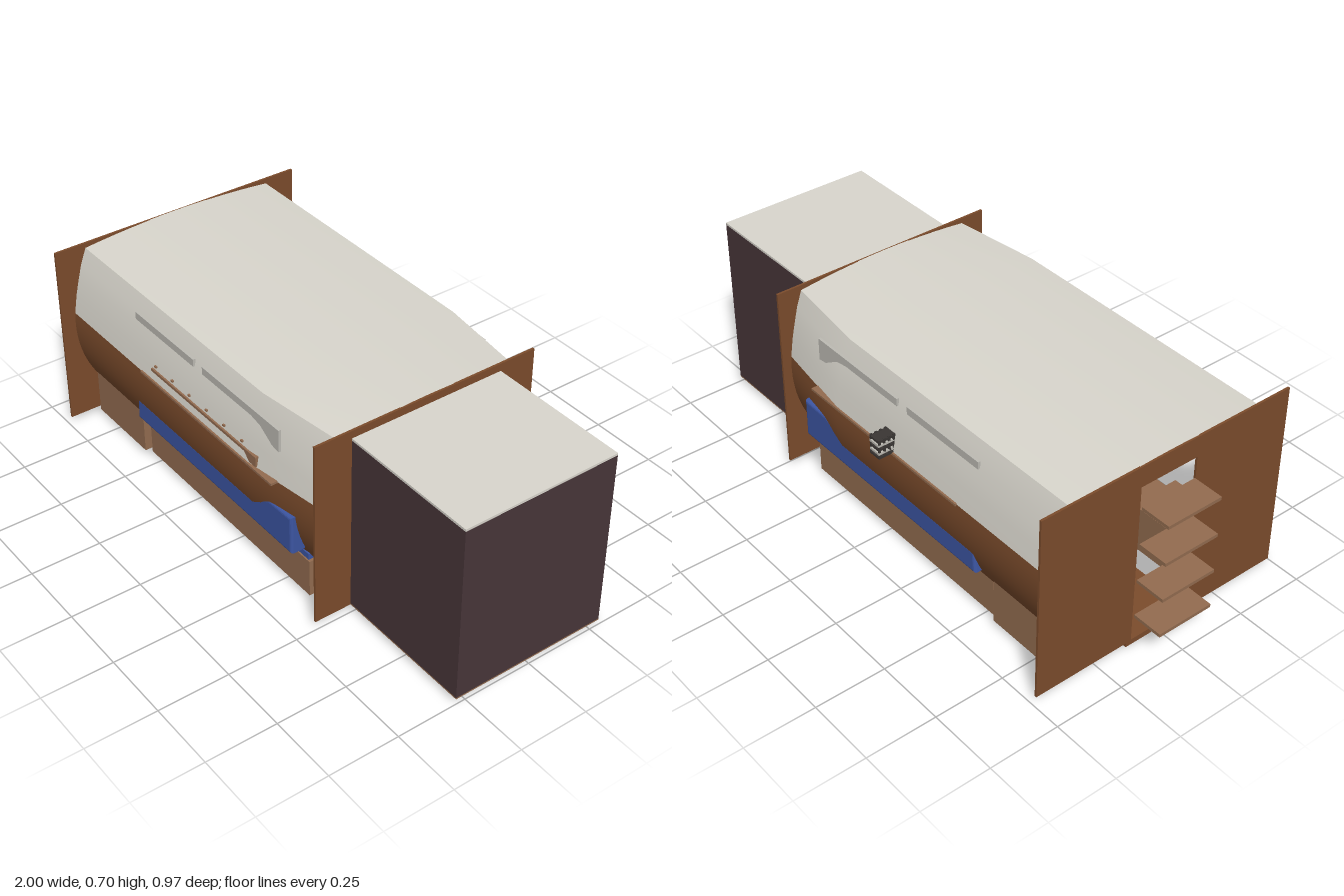
import * as THREE from 'three';

const mat = (name, color, side = THREE.FrontSide) => {
  const m = new THREE.MeshStandardMaterial({ color, side });
  m.name = name;
  return m;
};

export function createModel() {
  const group = new THREE.Group();
  const white = mat('off white', 0xd9d6cd);
  const grey = mat('window grey', 0xbdbbb4);
  const brown = mat('brown', 0x7c4c2c);
  const tan = mat('tan', 0x936c50);
  const blue = mat('blue', 0x3c55a2);
  const plum = mat('dark plum', 0x483639);
  const dark = mat('charcoal', 0x3a3634);

  const add = (name, geometry, material) => {
    const m = new THREE.Mesh(geometry, material);
    m.name = name;
    group.add(m);
    return m;
  };
  // box from its two extreme corners
  const box = (name, material, x0, x1, y0, y1, z0, z1) => {
    const m = add(name, new THREE.BoxGeometry(x1 - x0, y1 - y0, z1 - z0), material);
    m.position.set((x0 + x1) / 2, (y0 + y1) / 2, (z0 + z1) / 2);
    return m;
  };
  const shapeOf = (pts) => new THREE.Shape(pts.map(([x, y]) => new THREE.Vector2(x, y)));

  // hull skin: a [z, y] profile swept along x, narrowing toward the +x end
  const stations = [[-0.882, 1], [0.16, 1], [0.483, 0.893]];
  const skin = (name, profile, material) => {
    const pos = [], idx = [], n = profile.length;
    stations.forEach(([x, s]) => profile.forEach(([z, y]) => pos.push(x, y, z * s)));
    for (let i = 0; i < stations.length - 1; i++) {
      for (let j = 0; j < n - 1; j++) {
        const a = i * n + j, b = a + n;
        idx.push(a, b, b + 1, a, b + 1, a + 1);
      }
    }
    const g = new THREE.BufferGeometry();
    g.setAttribute('position', new THREE.Float32BufferAttribute(pos, 3));
    g.setIndex(idx);
    g.computeVertexNormals();
    add(name, g, material);
  };
  const mirrored = (p) => p.map(([z, y]) => [-z, y]).reverse();

  const lower = [];
  for (let i = 0; i <= 16; i++) {
    const y = 0.02 + (0.42 * i) / 16;
    lower.push([Math.sqrt(0.434 ** 2 - (y - 0.395) ** 2), y]);
  }
  const upper = [[0.432, 0.44], [0.42, 0.51], [0.408, 0.56], [0.392, 0.62], [0.37, 0.677]];
  const roof = [];
  for (let i = 0; i <= 12; i++) {
    const t = 1 - i / 6;
    roof.push([0.37 * t, 0.697 - 0.02 * t * t]);
  }
  skin('lowerHullLeft', lower, brown);
  skin('lowerHullRight', mirrored(lower), brown);
  skin('upperWallLeft', upper, white);
  skin('upperWallRight', mirrored(upper), white);
  skin('roof', roof, white);

  // end bulkheads; the rear one has a doorway
  const bulkhead = (name, pts, x) => {
    const g = new THREE.ExtrudeGeometry(shapeOf(pts), { depth: 0.008, bevelEnabled: false });
    g.rotateY(-Math.PI / 2);
    add(name, g, brown).position.x = x;
  };
  bulkhead('doorBulkhead', [
    [-0.485, 0.02], [-0.11, 0.02], [-0.11, 0.62], [0.11, 0.62],
    [0.11, 0.02], [0.485, 0.02], [0.485, 0.695], [-0.485, 0.695],
  ], -0.88);
  bulkhead('endBulkhead', [[-0.42, 0.02], [0.42, 0.02], [0.42, 0.695], [-0.42, 0.695]], 0.489);

  box('keelFloor', brown, -0.885, 0.488, 0, 0.02, -0.127, 0.127);

  // end compartment
  box('compartment', plum, 0.489, 1, 0.025, 0.66, -0.285, 0.285);
  box('compartmentLid', white, 0.489, 1, 0.66, 0.668, -0.285, 0.285);
  box('compartmentBase', tan, 0.489, 1, 0.02, 0.025, -0.285, 0.285);

  // steps at the doorway
  for (const y of [0.12, 0.26, 0.4, 0.54]) {
    box('step', tan, -1, -0.89, y - 0.006, y + 0.006, -0.105, 0.105);
  }

  // side panels, shared by both sides
  const panelShape = shapeOf([
    [-0.51, 0.215], [0.355, 0.215], [0.355, 0.338], [0.25, 0.335],
    [0.215, 0.32], [0.165, 0.287], [0.13, 0.28], [-0.505, 0.28],
  ]);
  const panelGeo = new THREE.ExtrudeGeometry(panelShape, {
    depth: 0.04, bevelSize: 0.009, bevelThickness: 0.009, bevelSegments: 3,
  });
  const windowGeos = [
    [[-0.515, 0.598], [-0.175, 0.598], [-0.175, 0.625], [-0.515, 0.625]],
    [[-0.125, 0.598], [0.14, 0.598], [0.19, 0.588], [0.25, 0.55], [0.285, 0.545],
      [0.285, 0.625], [-0.125, 0.625]],
  ].map((p) => new THREE.ExtrudeGeometry(shapeOf(p), { depth: 0.009, bevelEnabled: false }));

  for (const s of [1, -1]) {
    const sideBox = (name, m, x0, x1, y0, y1, z0, z1) =>
      box(name, m, x0, x1, y0, y1, Math.min(s * z0, s * z1), Math.max(s * z0, s * z1));
    add('sidePanel', panelGeo, blue).position.z = s * 0.39 - 0.02;
    for (const g of windowGeos) {
      add('windowStrip', g, grey).position.z = s * 0.3985 - 0.0045;
    }
    sideBox('shortLocker', tan, -0.86, -0.56, 0.02, 0.187, 0.19, 0.378);
    sideBox('longLocker', tan, -0.54, 0.38, 0.02, 0.157, 0.19, 0.362);
    sideBox('lowerPanelTip', blue, 0.31, 0.37, 0.158, 0.18, 0.31, 0.358);
    sideBox('sideLedge', tan, -0.45, 0.29, 0.436, 0.444, 0.38, 0.438);
  }

  // rail with bracket and pegs on the front side
  box('rail', tan, -0.39, 0.2, 0.474, 0.484, 0.4, 0.431);
  const bracket = new THREE.ExtrudeGeometry(
    shapeOf([[0.14, 0.474], [0.165, 0.448], [0.2, 0.448], [0.2, 0.484]]),
    { depth: 0.025, bevelEnabled: false });
  add('railBracket', bracket, tan).position.z = 0.406;
  for (let i = 0; i < 6; i++) {
    const x = -0.37 + i * 0.098;
    box('railPeg', tan, x - 0.005, x + 0.005, 0.495, 0.501, 0.41, 0.428);
  }

  // slatted rack on the back side
  for (let i = 0; i < 5; i++) {
    const y = 0.445 + i * 0.015;
    box('rackSlat', i % 2 ? grey : dark, -0.138, -0.092, y - 0.004, y + 0.004, -0.485, -0.41);
  }
  for (let i = 0; i < 4; i++) {
    const z = -0.48 + i * 0.018;
    for (const x of [-0.138, -0.096]) {
      box('rackPost', dark, x, x + 0.005, 0.441, 0.512, z - 0.004, z + 0.004);
    }
  }
  box('rackBack', dark, -0.125, -0.105, 0.445, 0.505, -0.48, -0.42);
  return group;
}
